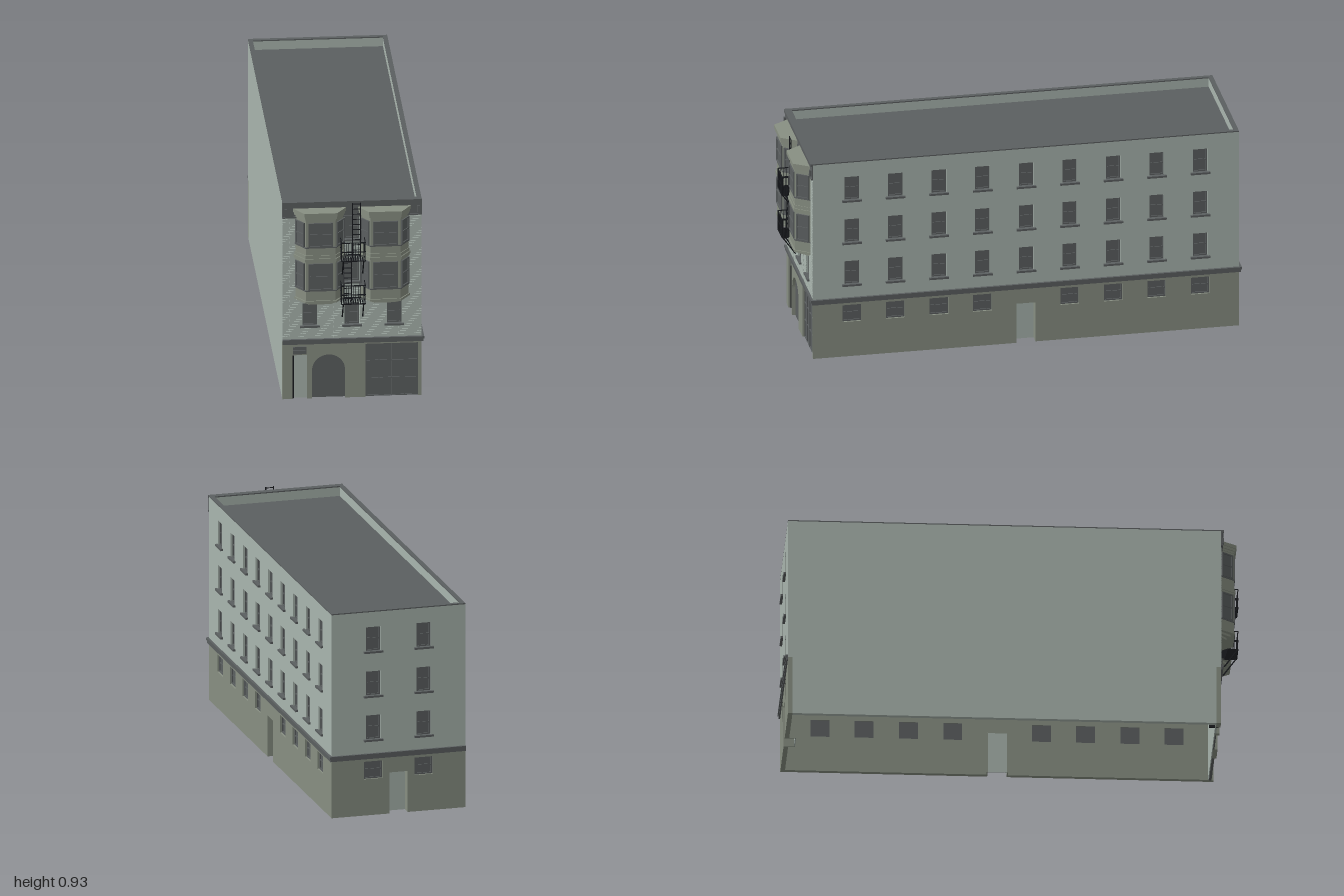
import * as THREE from 'three';
import { mergeGeometries } from 'three/addons/utils/BufferGeometryUtils.js';

const mat = (name, color) => Object.assign(new THREE.MeshStandardMaterial({ color }), { name });
const wallMat = mat('paleWall', 0xa9b5ae), stone = mat('oliveStone', 0x888f82);
const slate = mat('slate', 0x5b5f60), iron = mat('blackIron', 0x17191d);

const W = 0.61, D = 1.895, T = 0.02, TOP = 0.925, BAND = 0.27;
const FLOORS = [0.345, 0.545, 0.747];

function add(parent, name, geometry, material) {
  const mesh = new THREE.Mesh(geometry, material);
  mesh.name = name;
  parent.add(mesh);
  return mesh;
}
// Box given by its extents
const span = (x0, x1, y0, y1, z0, z1) =>
  new THREE.BoxGeometry(x1 - x0, y1 - y0, z1 - z0).translate((x0 + x1) / 2, (y0 + y1) / 2, (z0 + z1) / 2);

function group(parent, name, x = 0, y = 0, z = 0, ry = 0) {
  const g = new THREE.Group();
  g.name = name;
  g.position.set(x, y, z);
  g.rotation.y = ry;
  parent.add(g);
  return g;
}

// Wall panel with window holes, and doorways notched into its lower edge
function wallPanel(parent, name, width, y0, y1, windows, doors, material) {
  const s = new THREE.Shape();
  s.moveTo(-width / 2, y0);
  for (const d of doors) {
    const r = (d.x1 - d.x0) / 2;
    s.lineTo(d.x0, y0);
    s.lineTo(d.x0, d.arch ? d.h - r : d.h);
    if (d.arch) s.absarc(d.x0 + r, d.h - r, r, Math.PI, 0, true);
    else s.lineTo(d.x1, d.h);
    s.lineTo(d.x1, y0);
  }
  s.lineTo(width / 2, y0);
  s.lineTo(width / 2, y1);
  s.lineTo(-width / 2, y1);
  s.closePath();
  for (const { x, y, w, h } of windows) {
    s.holes.push(new THREE.Path([[-1, 0], [-1, 1], [1, 1], [1, 0]]
      .map(([a, b]) => new THREE.Vector2(x + a * w / 2, y + b * h))));
  }
  const geo = new THREE.ExtrudeGeometry(s, { depth: T, bevelEnabled: false, curveSegments: 12 });
  add(parent, name, geo.translate(0, 0, -T), material);
}

// Sash window: pane, frame and sill, recessed by 'z'
function sashWindow(parent, { x, y, w, h, sill = true }, z = -0.013) {
  const g = group(parent, 'window', x, y, z), f = 0.006, a = w / 2;
  add(g, 'windowPane', span(-a, a, 0, h, -0.004, 0), slate);
  add(g, 'windowFrame', mergeGeometries([
    span(-a, -a + f, 0, h, 0, 0.005), span(a - f, a, 0, h, 0, 0.005),
    span(-a + f, a - f, h - f, h, 0, 0.005), span(-a + f, a - f, 0, f, 0, 0.005),
    span(-a + f, a - f, h * 0.48, h * 0.48 + f, 0, 0.004)]), slate);
  if (sill) add(g, 'windowSill', span(-a - 0.011, a + 0.011, -0.008, 0.001, 0, -z + 0.011), slate);
}

// Recessed plain door with jambs reaching into the building
function recessedDoor(parent, d) {
  const g = group(parent, 'door'), z = -0.05;
  add(g, 'doorPanel', span(d.x0, d.x1, 0, d.h, z, z + 0.005), wallMat);
  add(g, 'doorJambs', mergeGeometries([
    span(d.x0 - 0.005, d.x0, 0, d.h, z, -T), span(d.x1, d.x1 + 0.005, 0, d.h, z, -T),
    span(d.x0, d.x1, d.h, d.h + 0.005, z, -T)]), stone);
}

// Side or rear facade from window columns and one central door
function plainFacade(parent, name, width, columns, z, ry, pos) {
  const g = group(parent, name, pos, 0, z, ry);
  const door = { x0: -0.042, x1: 0.042, h: 0.187 };
  const upper = FLOORS.flatMap(y => columns.map(x => ({ x, y, w: 0.065, h: 0.11 })));
  const lower = columns.filter(x => Math.abs(x) > 0.05).map(x => ({ x, y: 0.165, w: 0.083, h: 0.08, sill: false }));
  wallPanel(g, 'upperWall', width, BAND, TOP, upper, [], wallMat);
  wallPanel(g, 'groundWall', width, 0, BAND, lower, [door], stone);
  [...upper, ...lower].forEach(w => sashWindow(g, w));
  recessedDoor(g, door);
  return g;
}

// Brick courses that leave the windows free
function bricks(parent, windows) {
  const list = [], step = 0.0115, len = 0.03;
  for (let row = 0; row < 49; row++) {
    const y = 0.285 + row * step;
    const blocks = windows.filter(w => y + step > w.y - 0.01 && y < w.y + w.h)
      .map(w => [w.x - w.w / 2 - 0.002, w.x + w.w / 2 + 0.002]).sort((a, b) => a[0] - b[0]);
    let start = -W / 2;
    for (const [a, b] of [...blocks, [W / 2, 0]]) {
      for (let x = -0.32 + (row % 2) * len / 2; x < a; x += len) {
        const x0 = Math.max(x, start), x1 = Math.min(x + len - 0.0012, a);
        if (x1 - x0 > 0.002) list.push(span(x0, x1, y, y + step - 0.0014, 0, 0.002));
      }
      start = b;
    }
  }
  add(parent, 'brickCourses', mergeGeometries(list), wallMat);
}

// Canted bay: stacked trapezoid layers with windows on three faces
function bayWindow(parent, x) {
  const g = group(parent, 'bayWindow', x), side = 0.108, face = 0.065, depth = 0.061;
  const layer = (name, y0, y1, grow, material = stone) => {
    const a = side + grow, b = face + grow * 0.6, d = depth + grow;
    const s = new THREE.Shape([[-a, 0], [a, 0], [b, d], [-b, d]].map(p => new THREE.Vector2(...p)));
    const geo = new THREE.ExtrudeGeometry(s, { depth: y1 - y0, bevelEnabled: false });
    add(g, name, geo.rotateX(Math.PI / 2).translate(0, y1, 0), material);
  };
  layer('bayBody', 0.484, 0.87, 0);
  [[0.455, 0.465, -0.03], [0.465, 0.475, -0.013], [0.475, 0.485, 0.005]].forEach(l => layer('bayBase', ...l));
  [[0.664, 0.672, 0.003], [0.672, 0.684, 0.007], [0.684, 0.699, 0.003]].forEach(l => layer('bayBand', ...l));
  [[0.862, 0.872, 0.003], [0.872, 0.884, 0.008], [0.884, 0.9, 0.012]].forEach(l => layer('bayCornice', ...l));
  for (const [y, h] of [[0.535, 0.125], [0.738, 0.113]]) {
    layer('baySill', y - 0.005, y, 0.004, slate);
    sashWindow(g, { x: 0, y, w: 0.108, h, sill: false }, 0.001 + depth);
    for (const s of [-1, 1]) {
      const slant = group(g, 'cantedFace', s * (side + face) / 2, 0, depth / 2, s * Math.atan2(depth, side - face));
      sashWindow(slant, { x: 0, y, w: 0.06, h, sill: false }, 0.001);
    }
  }
}

// Square iron bar between two points
function bar(a, b, t = 0.003) {
  const p = new THREE.Vector3(...a), q = new THREE.Vector3(...b);
  const geo = new THREE.BoxGeometry(t, t, p.distanceTo(q));
  geo.lookAt(q.clone().sub(p));
  return geo.translate(...p.add(q).multiplyScalar(0.5).toArray());
}
function ladder(parent, x0, x1, y0, y1, z) {
  const list = [bar([x0, y0, z], [x0, y1, z], 0.004), bar([x1, y0, z], [x1, y1, z], 0.004)];
  for (let y = y0 + 0.012; y < y1; y += 0.024) list.push(bar([x0, y, z], [x1, y, z]));
  add(parent, 'ladder', mergeGeometries(list), iron);
}
function balcony(parent, y) {
  const a = 0.052, z0 = 0.012, z1 = 0.088, h = 0.086, list = [];
  for (let i = 0; i <= 10; i++) {
    const x = -a + i * a / 5;
    list.push(bar([x, y, z0], [x, y, z1], 0.0035), bar([x, y, z1], [x, y + h, z1], 0.002));
  }
  for (const k of [0, 0.5, 1]) list.push(bar([-a, y + h * k, z1], [a, y + h * k, z1], 0.004));
  for (const s of [-a, a]) {
    for (const k of [0, 0.5, 1]) list.push(bar([s, y + h * k, z0], [s, y + h * k, z1], 0.0035));
    for (let i = 0; i < 7; i++) list.push(bar([s, y, z0 + i * 0.0125], [s, y + h, z0 + i * 0.0125], 0.002));
    list.push(bar([s * 0.86, y, z1 - 0.002], [s * 0.86, y - 0.082, 0.028], 0.005));
  }
  list.push(bar([-a, y, z0], [a, y, z0], 0.004));
  add(parent, 'balcony', mergeGeometries(list), iron);
}

function frontFacade(parent) {
  const g = group(parent, 'frontFacade', 0, 0, D / 2);
  const windows = [-0.185, 0, 0.185].map(x => ({ x, y: 0.345, w: 0.064, h: 0.103 }));
  windows.push({ x: 0, y: 0.548, w: 0.064, h: 0.11 }, { x: 0, y: 0.747, w: 0.064, h: 0.106 });
  const doors = [{ x0: -0.26, x1: -0.196, h: 0.25 },
    { x0: -0.175, x1: -0.03, h: 0.205, arch: true }, { x0: 0.06, x1: 0.29, h: 0.25 }];
  wallPanel(g, 'upperWall', W, BAND, TOP, windows, [], wallMat);
  wallPanel(g, 'groundWall', W, 0, BAND, [], doors, stone);
  windows.forEach(w => sashWindow(g, w));
  bricks(g, windows);
  add(g, 'innerLining', span(-0.284, 0.284, 0, BAND, -T - 0.004, -T), wallMat);

  // Entrance door, transom and edge, then the arch and the shopfront
  add(g, 'entranceDoor', span(-0.253, -0.196, 0, 0.2, -T, -0.015), wallMat);
  add(g, 'doorEdge', span(-0.26, -0.253, 0, 0.2, -0.05, -0.008), iron);
  add(g, 'transom', span(-0.26, -0.196, 0.2, 0.25, -T, -0.014), stone);
  for (const y of [0.206, 0.224]) add(g, 'transomPanel', span(-0.258, -0.198, y, y + 0.016, -0.014, -0.009), slate);
  add(g, 'archPanel', span(-0.175, -0.03, 0, 0.205, -T, -0.014), slate);
  add(g, 'shopfront', span(0.06, 0.29, 0, 0.25, -T, -0.013), slate);
  const grid = [];
  for (let i = 0; i < 5; i++) grid.push(span(0.06 + i * 0.0565, 0.064 + i * 0.0565, 0, 0.25, -0.013, -0.008));
  for (let i = 0; i < 4; i++) grid.push(span(0.06, 0.29, i * 0.082, i * 0.082 + 0.004, -0.013, -0.009));
  add(g, 'shopfrontGrid', mergeGeometries(grid), slate);

  // Cornice
  add(g, 'cornice', mergeGeometries([span(-0.306, 0.306, 0.855, 0.93, 0, 0.006),
    span(-0.306, 0.306, 0.918, 0.93, 0, 0.012), span(-0.306, 0.306, 0.855, 0.862, 0, 0.009)]), slate);
  for (const s of [-0.291, 0.291]) add(g, 'corniceBracket', span(s - 0.006, s + 0.006, 0.87, 0.898, 0, 0.014), slate);

  for (const s of [-1, 1]) bayWindow(g, s * 0.142);

  const escape = group(g, 'fireEscape');
  balcony(escape, 0.475);
  balcony(escape, 0.677);
  ladder(escape, -0.04, -0.006, 0.475, 0.677, 0.05);
  ladder(escape, -0.002, 0.033, 0.677, 0.934, 0.045);
}

export function createModel() {
  const model = new THREE.Group();
  model.name = 'cornerBuilding';
  const b = group(model, 'building', -0.005, 0, -0.0375);
  const columns = Array.from({ length: 9 }, (_, i) => (i - 4) * 0.1938);
  frontFacade(b);
  plainFacade(b, 'sideFacade', D - 2 * T, columns, 0, Math.PI / 2, W / 2);
  plainFacade(b, 'rearFacade', W, [-0.115, 0.115], -D / 2, Math.PI, 0);
  add(b, 'blankWall', span(-W / 2, -W / 2 + T, 0, TOP, -D / 2 + T, D / 2 - T), wallMat);

  // Roof and parapet coping
  const x = W / 2, z = D / 2;
  add(b, 'roof', span(-x + T, x - T, 0.875, 0.885, -z + T, z - T), slate);
  add(b, 'coping', mergeGeometries([
    span(-x, x, TOP, 0.93, z - T, z), span(-x, x, TOP, 0.93, -z, -z + T),
    span(-x, -x + T, TOP, 0.93, -z + T, z - T), span(x - T, x, TOP, 0.93, -z + T, z - T)]), slate);

  // Moulded band above the ground floor, on three sides
  for (const [y0, y1, e] of [[0.258, 0.272, 0.007], [0.271, 0.282, 0.011]]) {
    add(b, 'beltCourse', mergeGeometries([
      span(-x, x + e, y0, y1, z, z + e), span(-x, x + e, y0, y1, -z - e, -z),
      span(x, x + e, y0, y1, -z, z)]), slate);
  }
  return model;
}
